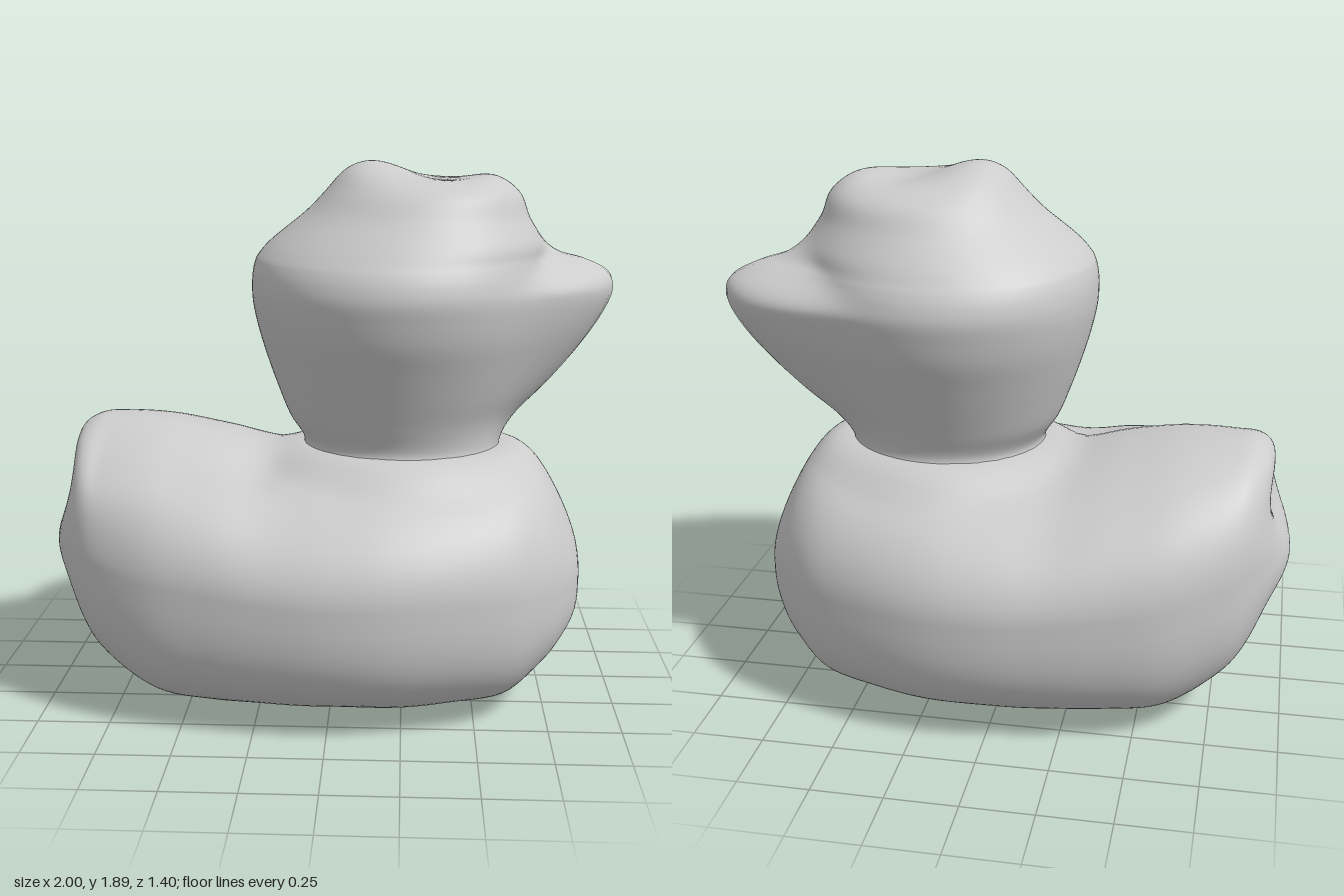
import * as THREE from 'three';
import { mergeVertices } from 'three/addons/utils/BufferGeometryUtils.js';

const { smoothstep } = THREE.MathUtils;
const gauss = (d, s) => Math.exp(-0.5 * (d / s) ** 2);

// Smoothly interpolates a table of section rows at t in 0..1
function sample(rows, t) {
  const f = t * (rows.length - 1);
  const i = Math.min(Math.floor(f), rows.length - 2);
  const u = f - i;
  const row = (k) => rows[Math.max(0, Math.min(rows.length - 1, k))];
  return rows[0].map((_, c) => {
    const [a, b, d, e] = [row(i - 1)[c], row(i)[c], row(i + 1)[c], row(i + 2)[c]];
    const m0 = (d - a) / 2, m1 = (e - b) / 2;
    return b + u * (m0 + u * (3 * (d - b) - 2 * m0 - m1 + u * (2 * (b - d) + m0 + m1)));
  });
}

// Skins closed rings; point(section, angle) gives [x, y, z]
function loft(rows, point, rings = 90, sides = 96) {
  const pos = [], index = [];
  for (let i = 0; i <= rings; i++) {
    const s = sample(rows, i / rings);
    for (let j = 0; j < sides; j++) {
      pos.push(...point(s, (j / sides) * Math.PI * 2));
      if (i === rings) continue;
      const a = i * sides + j, b = i * sides + ((j + 1) % sides);
      index.push(a, a + sides, b, b, a + sides, b + sides);
    }
  }
  let g = new THREE.BufferGeometry();
  g.setAttribute('position', new THREE.Float32BufferAttribute(pos, 3));
  g.setIndex(index);
  g = mergeVertices(g, 1e-5);
  g.computeVertexNormals();
  return g;
}

export function createModel() {
  const group = new THREE.Group();
  const grey = new THREE.MeshStandardMaterial({ color: 0xcccccc });
  grey.name = 'light grey';

  // Body sections from tail to chest: x, bottom, top, height of widest point, half width
  const bodyRows = [
    [-0.94, 0.62, 0.62, 0.62, 0],
    [-0.95, 0.50, 0.80, 0.62, 0.16],
    [-0.93, 0.40, 0.92, 0.61, 0.28],
    [-0.87, 0.25, 0.97, 0.59, 0.40],
    [-0.78, 0.14, 0.98, 0.56, 0.49],
    [-0.60, 0.03, 0.97, 0.53, 0.59],
    [-0.40, 0.01, 0.93, 0.51, 0.645],
    [-0.20, 0.01, 0.88, 0.49, 0.68],
    [0.00, 0.01, 0.89, 0.48, 0.70],
    [0.20, 0.005, 0.91, 0.48, 0.69],
    [0.40, 0.015, 0.91, 0.48, 0.64],
    [0.60, 0.035, 0.90, 0.47, 0.555],
    [0.72, 0.12, 0.845, 0.46, 0.46],
    [0.80, 0.20, 0.73, 0.45, 0.36],
    [0.865, 0.30, 0.58, 0.45, 0.22],
    [0.89, 0.45, 0.45, 0.45, 0],
  ];
  const body = new THREE.Mesh(loft(bodyRows, ([x, lo, hi, mid, w], a) => {
    const c = Math.cos(a), s = Math.sin(a);
    const p = s < 0 ? 2 / 3 : 1; // fuller underside, round back
    let z = w * Math.sign(c) * Math.abs(c) ** p;
    let y = mid + (s > 0 ? (hi - mid) * s : -(mid - lo) * Math.abs(s) ** p);
    // Tail ridge falls away on the +z side, with a hollow beside the neck
    const upper = smoothstep(s, 0.3, 0.8);
    y -= upper * (0.045 * gauss(z - 0.3, 0.12) * smoothstep(-x, 0.3, 0.55) * (1 - smoothstep(-x, 0.8, 0.92))
      + 0.04 * gauss(x + 0.3, 0.1) * gauss(z - 0.27, 0.1));
    // Shoulders rise to meet the neck all round
    const neck = Math.hypot((x - 0.24) / 0.36, z / 0.33);
    if (y > 0.6) y += (0.9 - y) * (1 - smoothstep(neck, 0.9, 1.45));
    // Rump bulge with a hollow under the tail tip
    const back = smoothstep(-x, 0.8, 0.93);
    x += back * (0.042 * gauss(y - 0.77, 0.07) * gauss(z, 0.15)
      - 0.055 * gauss(y - 0.55, 0.09) * gauss(z, 0.17));
    // Shallow dimple low on the chest
    x -= 0.02 * smoothstep(x, 0.6, 0.75) * gauss(y - 0.2, 0.07) * gauss(z, 0.12);
    // Tail leans slightly to one side
    z -= 0.04 * smoothstep(-x, 0.4, 0.9) * Math.max(0, s);
    // Gentle unevenness underneath
    if (y < 0.12) y += 0.01 * Math.sin(x * 13) * Math.cos(z * 11) * (1 - y / 0.12);
    return [x, Math.max(0, y), z];
  }), grey);
  body.name = 'body';
  group.add(body);

  // Head sections from neck to crown: y, centre x, radius x, radius z, beak reach
  const headRows = [
    [0.80, 0.24, 0.37, 0.34, 0],
    [0.87, 0.24, 0.355, 0.325, 0],
    [0.92, 0.24, 0.35, 0.315, 0.01],
    [1.00, 0.22, 0.38, 0.345, 0.06],
    [1.10, 0.22, 0.42, 0.39, 0.13],
    [1.20, 0.22, 0.455, 0.435, 0.19],
    [1.30, 0.22, 0.485, 0.48, 0.24],
    [1.39, 0.22, 0.505, 0.505, 0.275],
    [1.45, 0.22, 0.51, 0.515, 0.285],
    [1.50, 0.22, 0.508, 0.507, 0.265],
    [1.54, 0.222, 0.502, 0.49, 0.19],
    [1.57, 0.228, 0.494, 0.47, 0.09],
    [1.62, 0.25, 0.47, 0.435, 0.02],
    [1.70, 0.28, 0.40, 0.37, 0],
    [1.78, 0.31, 0.335, 0.31, 0],
    [1.825, 0.31, 0.26, 0.225, 0],
    [1.838, 0.31, 0.14, 0.12, 0],
    [1.84, 0.31, 0, 0, 0],
  ];
  const beakAngle = -0.245; // the beak turns towards -z
  const head = new THREE.Mesh(loft(headRows, ([y, cx, rx, rz, reach], a) => {
    const off = Math.atan2(Math.sin(a - beakAngle), Math.cos(a - beakAngle));
    const e = reach * gauss(off, 0.33 - 0.13 * smoothstep(y, 1.44, 1.58)); // narrower on top
    const x = cx + Math.cos(a) * (rx + e), z = Math.sin(a) * (rz + e);
    // Raised crown and a shallow dish behind the brow
    const top = smoothstep(y, 1.7, 1.82);
    y += top * (0.055 * gauss(x - 0.12, 0.1) * gauss(z, 0.14)
      - 0.015 * gauss(x - 0.38, 0.08) * gauss(z, 0.12)
      + 0.015 * gauss(x - 0.54, 0.06) * gauss(z, 0.15));
    return [x, y, z];
  }, 110), grey);
  head.name = 'headAndBeak';
  group.add(head);

  return group;
}
